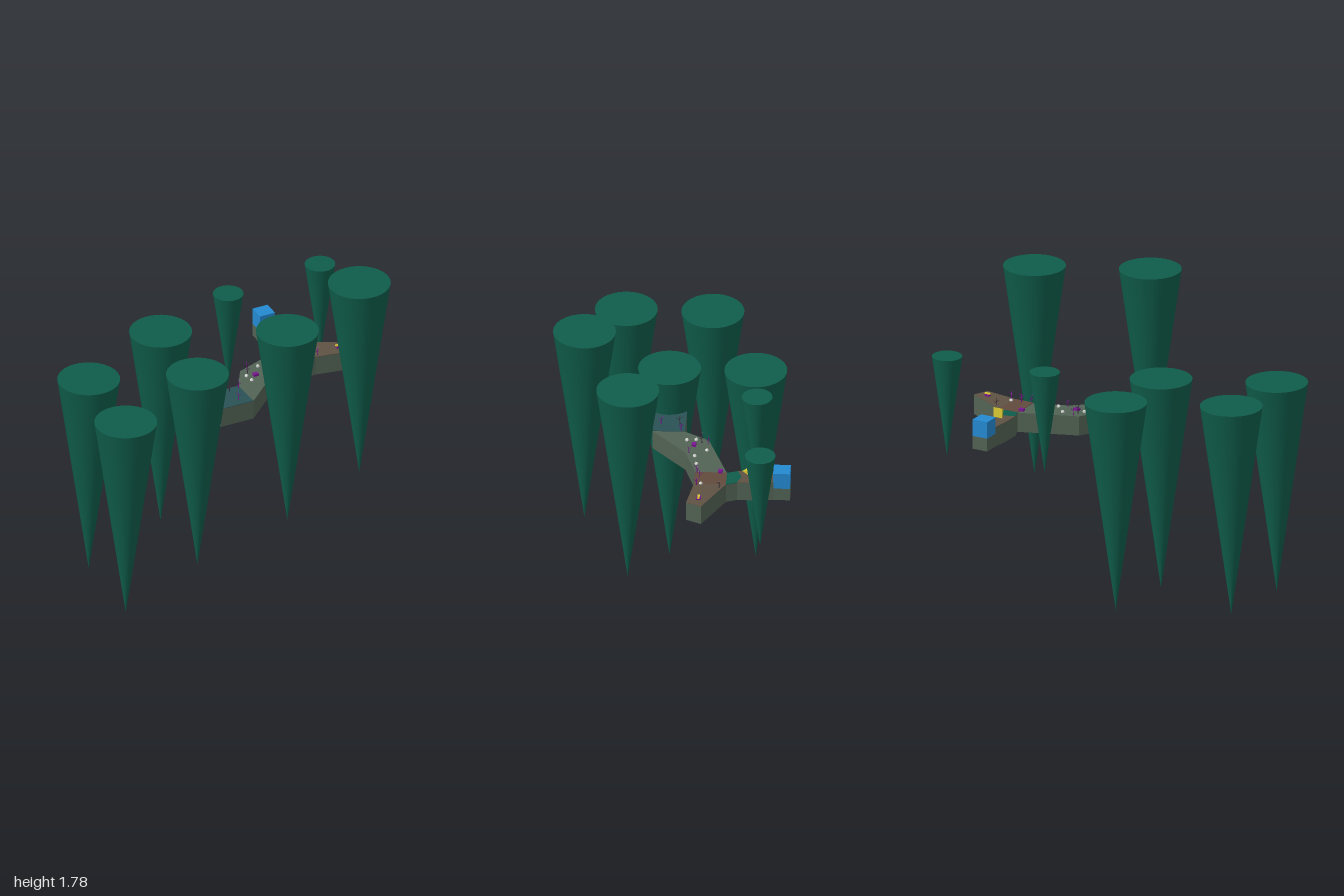
import * as THREE from 'three';

const mat = (name, color) => {
  const m = new THREE.MeshStandardMaterial({ color });
  m.name = name;
  return m;
};

export function createModel() {
  const root = new THREE.Group();
  const green = mat('deep green', 0x0f5c4a), stone = mat('grey green stone', 0x526354);
  const brown = mat('earth brown', 0x5f5244), rust = mat('rust brown', 0x624a3e);
  const teal = mat('dark teal', 0x295256), blue = mat('bright blue', 0x2389d0);
  const yellow = mat('yellow', 0xdccb32), purple = mat('purple', 0x7a1592);
  const white = mat('pale stone', 0xd2d6d2), twig = mat('dark twig', 0x3a2d3c);

  const add = (name, geo, material, x = 0, y = 0, z = 0, parent = root) => {
    const m = new THREE.Mesh(geo, material);
    m.name = name;
    m.position.set(x, y, z);
    parent.add(m);
    return m;
  };

  // Hanging inverted cones: x, z, radius, tip height, top height
  [
    [-0.802, -0.175, 0.185, 0.02, 1.325], [-0.815, 0.335, 0.185, 0, 1.312],
    [-0.198, 0.045, 0.185, 0, 1.312], [-0.185, -0.463, 0.185, 0.02, 1.325],
    [0.152, 0.525, 0.185, 0.475, 1.78], [0.77, 0.235, 0.185, 0.475, 1.78],
    [0.277, -0.498, 0.09, 0.81, 1.44], [0.907, -0.552, 0.09, 0.81, 1.44],
  ].forEach(([x, z, r, y0, y1]) => {
    const g = new THREE.CylinderGeometry(r, 0, y1 - y0, 40);
    add('invertedCone', g, green, x, (y0 + y1) / 2, z);
  });

  // Horizontal slab from [x, z] corners
  const slab = (name, pts, y0, y1, material) => {
    const shape = new THREE.Shape(pts.map(([x, z]) => new THREE.Vector2(x, -z)));
    const g = new THREE.ExtrudeGeometry(shape, { depth: y1 - y0, bevelEnabled: false });
    g.rotateX(-Math.PI / 2);
    add(name, g, material, 0, y0, 0);
  };
  const TOP = 1.08, LOW = 0.96;

  // Floating walkway with its fork, and the lower step at the back
  slab('walkway', [
    [-0.085, 0.125], [0.13, 0.125], [0.35, -0.08], [0.555, -0.15], [0.68, -0.15], [0.885, -0.115],
    [0.925, -0.205], [0.68, -0.337], [0.655, -0.4], [0.655, -0.52], [0.642, -0.615],
    [0.543, -0.615], [0.533, -0.52], [0.533, -0.4], [0.555, -0.337], [0.21, -0.21], [0.125, -0.065], [-0.085, -0.065],
  ], LOW, TOP, stone);
  slab('backStep', [[0.543, -0.615], [0.642, -0.615], [0.642, -0.712], [0.543, -0.712]], LOW, 1.04, stone);

  // Coloured ground patches
  const patch = (name, pts, material) => slab(name, pts, TOP, TOP + 0.003, material);
  patch('landingPatch', [[-0.085, 0.125], [0.13, 0.125], [0.125, -0.065], [-0.085, -0.065]], teal);
  patch('junctionPatch', [[0.555, -0.15], [0.68, -0.15], [0.68, -0.337], [0.555, -0.337]], rust);
  patch('sideArmPatch', [[0.68, -0.15], [0.885, -0.115], [0.925, -0.205], [0.68, -0.337]], brown);
  patch('mossPatch', [[0.555, -0.337], [0.68, -0.337], [0.655, -0.4], [0.595, -0.425], [0.533, -0.4]], green);
  patch('backArmPatch', [[0.533, -0.4], [0.595, -0.425], [0.655, -0.4], [0.655, -0.52], [0.642, -0.615], [0.543, -0.615], [0.533, -0.52]], brown);

  // Blue block and the yellow pointer in front of it
  add('blueBlock', new THREE.BoxGeometry(0.099, 0.103, 0.1), blue, 0.5925, 1.0915, -0.662);
  const pointer = new THREE.ConeGeometry(0.043, 0.07, 4);
  pointer.rotateY(Math.PI / 4).rotateX(Math.PI / 2);
  add('yellowPointer', pointer.toNonIndexed(), yellow, 0.595, 1.125, -0.463).geometry.computeVertexNormals();

  // Little purple crates, one with a yellow lid
  [[0.548, -0.298], [0.27, -0.126], [0.843, -0.186]].forEach(([x, z]) =>
    add('purpleCrate', new THREE.BoxGeometry(0.03, 0.014, 0.026), purple, x, TOP + 0.008, z));
  add('yellowLid', new THREE.BoxGeometry(0.036, 0.008, 0.014), yellow, 0.843, TOP + 0.018, -0.186);

  // Pebbles
  const pebble = new THREE.IcosahedronGeometry(0.012, 0);
  [[0.215, -0.137], [0.222, -0.082], [0.325, -0.205], [0.39, -0.137], [0.472, -0.152], [0.682, -0.19]].forEach(([x, z], i) => {
    add('pebble', pebble, white, x, TOP + 0.006, z).rotation.y = i;
  });

  // Sprigs: a leaning stem with short side branches
  const sprig = (x, z, h, material, turn) => {
    const g = new THREE.Group();
    g.name = 'sprig';
    g.position.set(x, TOP, z);
    g.rotation.y = turn;
    add('stem', new THREE.CylinderGeometry(0.0015, 0.003, h, 5), material, 0, h / 2, 0, g);
    for (let i = 0; i < 3; i++) {
      const arm = new THREE.CylinderGeometry(0.001, 0.002, h * 0.5, 4);
      arm.translate(0, h * 0.25, 0).rotateZ(0.8).rotateY(i * 2.1);
      add('branch', arm, material, 0, h * (0.4 + 0.15 * i), 0, g);
    }
    root.add(g);
  };
  [
    [0.115, -0.04, 0.05], [0.055, 0.08, 0.05], [0.25, -0.208, 0.05], [0.35, -0.1, 0.04],
    [0.56, -0.16, 0.05], [0.618, -0.18, 0.055], [0.695, -0.165, 0.05],
  ].forEach(([x, z, h], i) => sprig(x, z, h, purple, i));
  [[0.05, -0.03, 0.06], [0.24, -0.17, 0.06], [0.72, -0.3, 0.045]].forEach(([x, z, h], i) => sprig(x, z, h, twig, i * 2));

  return root;
}
